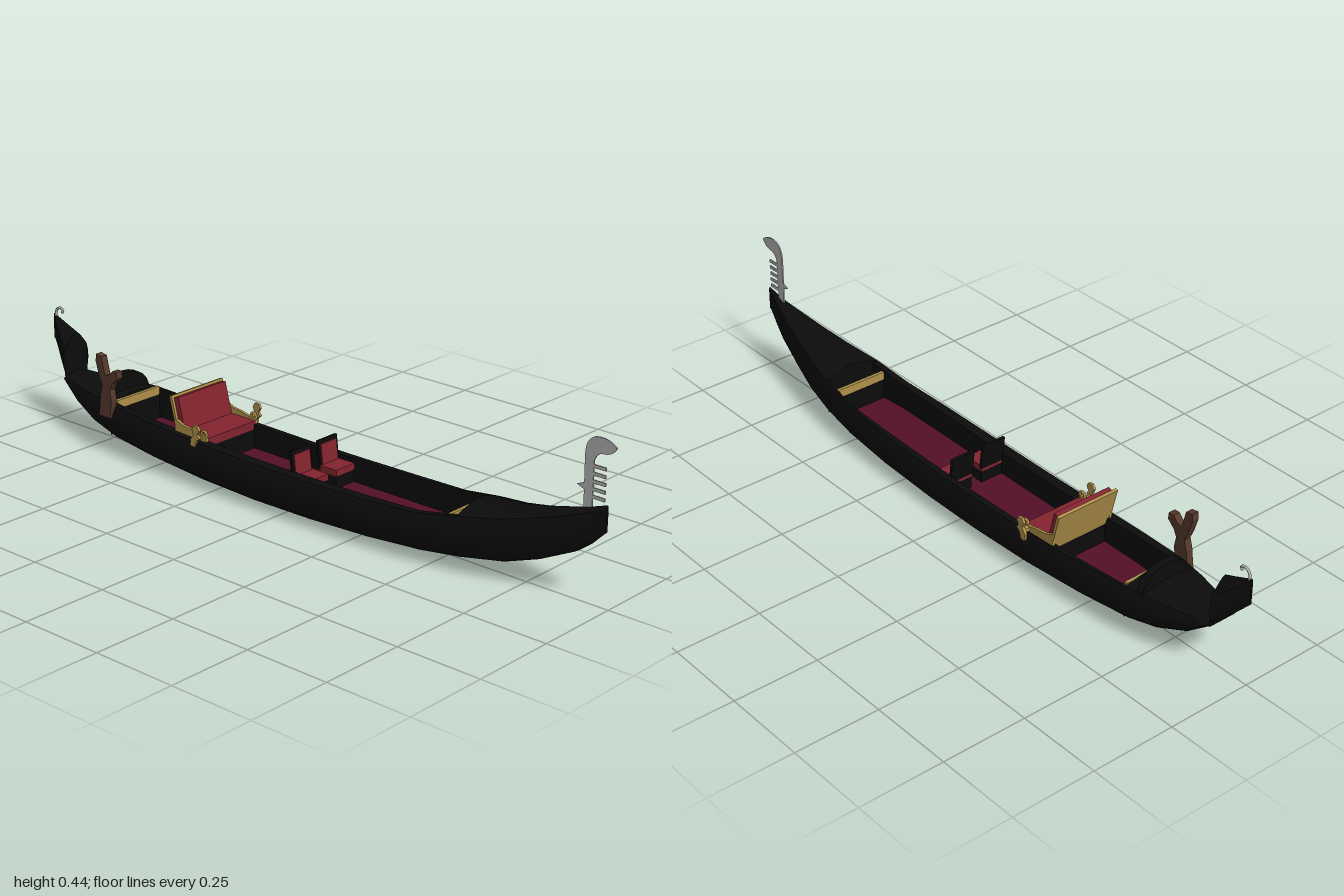
import * as THREE from 'three';

const mat = (name, color, side = THREE.FrontSide) =>
  Object.assign(new THREE.MeshStandardMaterial({ color, side }), { name });

const AXIS = 0.006; // centreline; the hull is slightly fuller on its right side
const FLOOR = 0.064;

// z, half beam, keel height, sheer height, deck ridge height
const STATIONS = [
  [0.98, 0.004, 0.20, 0.265, 0.272], [0.94, 0.014, 0.16, 0.246, 0.258],
  [0.9, 0.026, 0.13, 0.232, 0.246], [0.8, 0.052, 0.083, 0.203, 0.22],
  [0.7, 0.077, 0.05, 0.179, 0.2], [0.59, 0.1, 0.034, 0.162, 0.186],
  [0.47, 0.114, 0.022, 0.142, 0], [0.3, 0.124, 0.011, 0.135, 0],
  [0.1, 0.128, 0.004, 0.131, 0], [-0.1, 0.128, 0.002, 0.131, 0],
  [-0.3, 0.126, 0.008, 0.135, 0], [-0.5, 0.12, 0.022, 0.144, 0],
  [-0.66, 0.108, 0.038, 0.154, 0.168], [-0.75, 0.091, 0.056, 0.157, 0.168],
  [-0.84, 0.068, 0.093, 0.157, 0.168], [-0.91, 0.049, 0.15, 0.16, 0.168],
];
const STERN = [
  [-0.91, 0.049, 0.15, 0.242, 0.288], [-0.94, 0.035, 0.185, 0.268, 0.3],
  [-0.97, 0.019, 0.217, 0.294, 0.313], [-1, 0.003, 0.25, 0.32, 0.326],
];
const SECTION = [[0, 0], [0.42, 0.01], [0.72, 0.09], [0.9, 0.25], [0.98, 0.43],
  [1, 0.6], [0.98, 0.8], [0.9, 1]];

const sideX = (x) => AXIS + x * (x < 0 ? 1.06 : 0.94);
const innerHalf = (w) => Math.min(0.089, w * 0.78);

// Surface through rows of equally many points
function loft(rows) {
  const n = rows[0].length, index = [];
  for (let r = 0; r < rows.length - 1; r++) {
    for (let i = 0; i < n - 1; i++) {
      const a = r * n + i, b = a + n;
      index.push(a, b, a + 1, b, b + 1, a + 1);
    }
  }
  const g = new THREE.BufferGeometry();
  g.setAttribute('position', new THREE.Float32BufferAttribute(rows.flat(2), 3));
  g.setIndex(index);
  g.computeVertexNormals();
  return g;
}

// Full outer cross-section, from one rim under the keel to the other
const hullRow = ([z, w, yb, ys]) => {
  const half = (s) => SECTION.map(([fx, fy]) => [sideX(s * fx * w), yb + fy * (ys - yb), z]);
  return [...half(-1).reverse(), ...half(1).slice(1)];
};
const deckRow = ([z, w, , ys, ridge]) => Array.from({ length: 13 }, (_, i) => {
  const f = i / 6 - 1;
  return [sideX(f * w * 0.9), ys + (ridge - ys) * (1 - Math.abs(f) ** 1.4), z];
});
// Vertical wall under the end of a deck
const wall = (station, bottom) => {
  const top = deckRow(station);
  return loft([top, top.map(([x, , z]) => [x, bottom, z])]);
};

// Extrude a [z, y] outline across x
function sidePlate(points, thickness) {
  const shape = new THREE.Shape(points.map(([z, y]) => new THREE.Vector2(z, y)));
  const g = new THREE.ExtrudeGeometry(shape, { depth: thickness, bevelEnabled: false });
  return g.translate(0, 0, -thickness / 2).rotateY(-Math.PI / 2);
}

export function createModel() {
  const black = mat('black lacquer', 0x0c0c0c, THREE.DoubleSide);
  const carpet = mat('dark red carpet', 0x550f28, THREE.DoubleSide);
  const red = mat('red upholstery', 0x84242f);
  const gold = mat('gold trim', 0xb0914a);
  const wood = mat('brown wood', 0x56392c);
  const steel = mat('grey steel', 0xb4b4b4);

  const model = new THREE.Group();
  const add = (name, geometry, material, x = 0, y = 0, z = 0, parent = model) => {
    const mesh = new THREE.Mesh(geometry, material);
    mesh.name = name;
    mesh.position.set(x, y, z);
    parent.add(mesh);
    return mesh;
  };
  const box = (name, w, h, d, material, x, y, z, parent) =>
    add(name, new THREE.BoxGeometry(w, h, d), material, x, y, z, parent);

  // Hull, decks and raised stern
  const fore = STATIONS.slice(0, 6), aft = STATIONS.slice(12), cockpit = STATIONS.slice(5, 13);
  add('hull', loft(STATIONS.map(hullRow)), black);
  add('foredeck', loft(fore.map(deckRow)), black);
  add('foredeckWall', wall(fore[5], 0.06), black);
  add('aftDeck', loft(aft.map(deckRow)), black);
  add('aftDeckWall', wall(aft[0], 0.06), black);
  add('sternHull', loft(STERN.map(hullRow)), black);
  add('sternDeck', loft(STERN.map(deckRow)), black);
  add('sternWall', wall(STERN[0], 0.15), black);
  add('stemFace', wall(STATIONS[0], 0.2), black);
  add('sternEdge', wall(STERN[3], 0.25), black);

  // Gunwales, inner sides and carpeted floor
  for (const s of [-1, 1]) {
    add('gunwale', loft(cockpit.map(([z, w, , ys]) =>
      [[sideX(s * w * 0.9), ys, z], [AXIS + s * innerHalf(w), ys, z]])), black);
    add('innerSide', loft(cockpit.map(([z, w, , ys]) =>
      [[AXIS + s * innerHalf(w), ys, z], [AXIS + s * innerHalf(w), FLOOR, z]])), black);
  }
  add('floor', loft(cockpit.map(([z, w]) =>
    [-1, 1].map((s) => [AXIS + s * innerHalf(w), FLOOR, z]))), carpet);

  // Gold boards at both ends of the cockpit
  for (const [z, y] of [[0.55, 0.138], [-0.655, 0.148]]) {
    box('goldBoard', 0.165, 0.024, 0.01, gold, AXIS, y, z);
    box('goldBoardBase', 0.165, y - 0.012 - FLOOR, 0.008, black, AXIS, (y - 0.012 + FLOOR) / 2, z);
  }

  // Arched board in front of the aft deck
  const arch = new THREE.Shape();
  arch.moveTo(-0.085, 0.14);
  arch.bezierCurveTo(-0.08, 0.24, 0.08, 0.24, 0.085, 0.14);
  add('archedBoard', new THREE.ExtrudeGeometry(arch, { depth: 0.022, bevelEnabled: false }),
    black, AXIS, 0, -0.715);

  // Two small chairs
  for (const s of [-1, 1]) {
    const chair = new THREE.Group();
    chair.name = 'chair';
    chair.position.set(AXIS + s * 0.053, 0, 0);
    model.add(chair);
    box('chairBase', 0.07, 0.036, 0.06, black, 0, 0.082, 0.06, chair);
    box('chairSeat', 0.074, 0.018, 0.064, red, 0, 0.109, 0.06, chair);
    const back = new THREE.Group();
    back.name = 'chairBack';
    back.position.set(0, 0.108, 0.032);
    back.rotation.x = -0.12;
    chair.add(back);
    box('backFrame', 0.076, 0.08, 0.008, black, 0, 0.038, 0, back);
    box('backPad', 0.062, 0.062, 0.005, red, 0, 0.036, 0.005, back);
  }

  // Sofa with a leaning back
  box('sofaBase', 0.176, 0.056, 0.11, black, AXIS, 0.092, -0.335);
  box('sofaSeat', 0.19, 0.024, 0.1, red, AXIS, 0.132, -0.33);
  const sofaBack = new THREE.Group();
  sofaBack.name = 'sofaBack';
  sofaBack.position.set(AXIS, 0.125, -0.378);
  sofaBack.rotation.x = -0.25;
  model.add(sofaBack);
  box('backPanel', 0.202, 0.118, 0.009, gold, 0, 0.059, -0.01, sofaBack);
  box('backCushion', 0.186, 0.11, 0.018, red, 0, 0.056, 0.003, sofaBack);

  // Sofa arms: rail, carved post and scroll
  const rail = [[-0.4, 0.135], [-0.28, 0.135], [-0.28, 0.152], [-0.31, 0.152],
    [-0.335, 0.158], [-0.37, 0.163], [-0.4, 0.175]];
  const post = [[-0.315, 0.12], [-0.3, 0.12], [-0.295, 0.14], [-0.283, 0.15], [-0.292, 0.16],
    [-0.284, 0.172], [-0.29, 0.184], [-0.304, 0.185], [-0.312, 0.172], [-0.306, 0.158], [-0.318, 0.14]];
  for (const s of [-1, 1]) {
    add('armRail', sidePlate(rail, 0.008), gold, AXIS + s * 0.098);
    add('armPost', sidePlate(post, 0.008), gold, AXIS + s * 0.121);
    box('armBracket', 0.026, 0.01, 0.014, gold, AXIS + s * 0.11, 0.145, -0.303);
    const scroll = add('armScroll', new THREE.TorusGeometry(0.01, 0.004, 6, 14), gold,
      AXIS + s * 0.098, 0.154, -0.29);
    scroll.rotation.y = Math.PI / 2;
  }

  // Forked oar rest
  const fork = [[-0.685, 0.12], [-0.64, 0.12], [-0.632, 0.175], [-0.638, 0.205], [-0.628, 0.225],
    [-0.606, 0.245], [-0.608, 0.265], [-0.625, 0.265], [-0.64, 0.25], [-0.655, 0.245],
    [-0.66, 0.265], [-0.668, 0.298], [-0.69, 0.302], [-0.692, 0.28], [-0.68, 0.24],
    [-0.668, 0.212], [-0.676, 0.185]];
  add('oarRest', sidePlate(fork, 0.021), wood, -0.107);

  // Bow iron: curved blade, comb teeth and one tooth aft
  const blade = new THREE.Shape();
  blade.moveTo(0.91, 0.235);
  blade.lineTo(0.935, 0.235);
  blade.lineTo(0.935, 0.375);
  blade.quadraticCurveTo(0.942, 0.4, 0.965, 0.4);
  blade.quadraticCurveTo(0.99, 0.402, 1, 0.424);
  blade.quadraticCurveTo(0.97, 0.447, 0.935, 0.438);
  blade.quadraticCurveTo(0.908, 0.428, 0.908, 0.385);
  add('bowBlade', sidePlate(blade.getPoints(8).map((p) => [p.x, p.y]), 0.004), steel, AXIS);
  for (let i = 0; i < 5; i++) {
    box('bowTooth', 0.004, 0.009, 0.04, steel, AXIS, 0.282 + i * 0.02, 0.951);
  }
  add('aftTooth', sidePlate([[0.912, 0.294], [0.912, 0.314], [0.888, 0.304]], 0.004), steel, AXIS);

  // Small curl on the stern
  const curl = new THREE.CatmullRomCurve3([[0.315, -0.992], [0.335, -0.99], [0.346, -0.978],
    [0.342, -0.962], [0.333, -0.966]].map(([y, z]) => new THREE.Vector3(AXIS, y, z)));
  add('sternCurl', new THREE.TubeGeometry(curl, 14, 0.004, 6), steel);

  return model;
}
